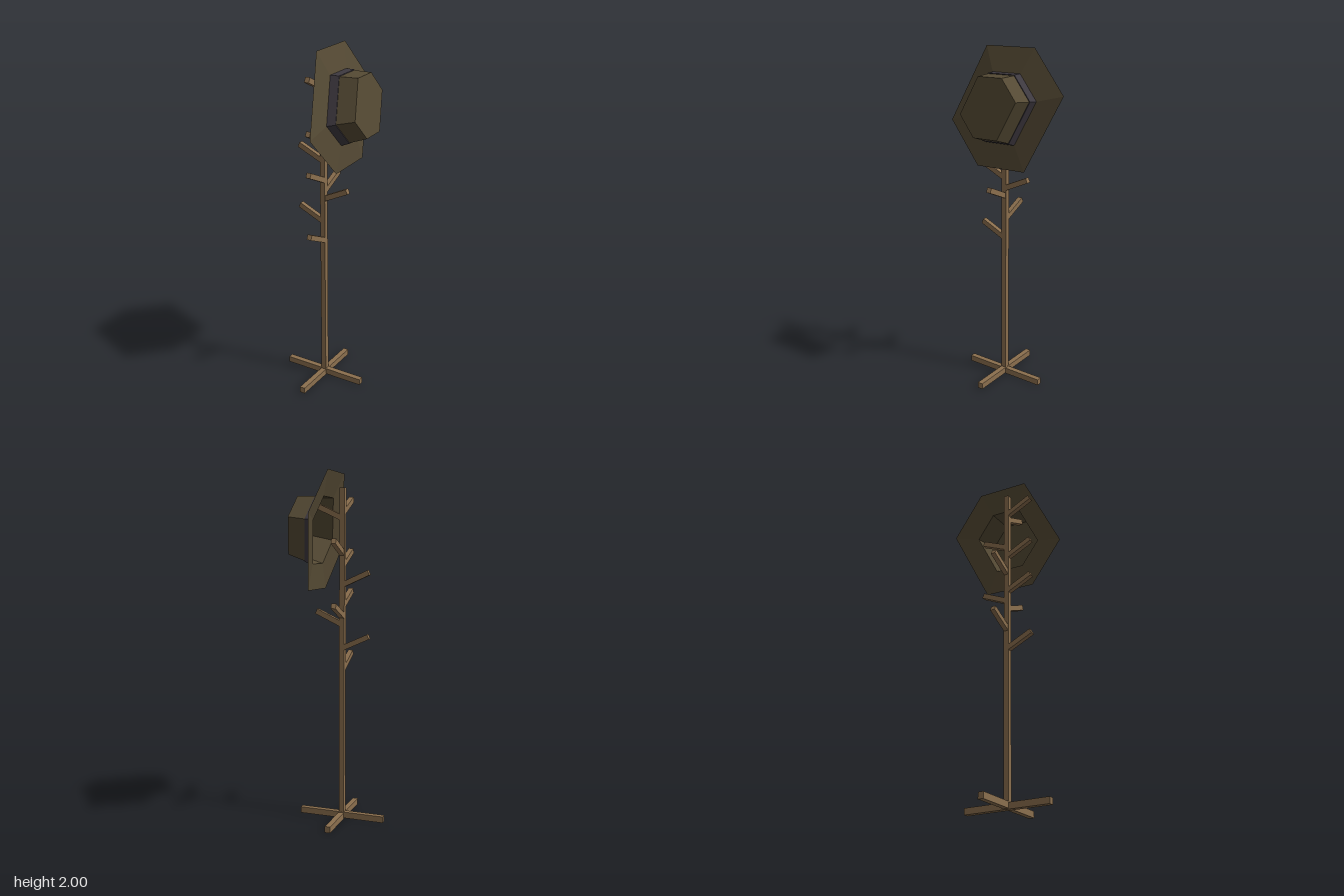
import * as THREE from 'three';

const material = (name, color, side = THREE.FrontSide) => {
  const m = new THREE.MeshStandardMaterial({ color, side, flatShading: true });
  m.name = name;
  return m;
};

// Hat pose: centre, axis and half of the six-sided outline (the other half mirrors it)
const hatCentre = new THREE.Vector3(0.055, 1.672, 0.076);
const hatAxis = new THREE.Vector3(0.04, 0.17, 1).normalize();
const half = [[-0.159, 0.32], [0.146, 0.328], [0.35, 0.1]];
const outline = [...half, ...half.map(([x, y]) => [-x, -y])];

// One hexagonal ring of the hat at a given distance along its axis
function ring(scale, offset) {
  return outline.map(([x, y]) =>
    new THREE.Vector3(x, y, -0.03 * x - 0.17 * y)
      .multiplyScalar(scale)
      .add(hatCentre)
      .addScaledVector(hatAxis, offset));
}

// Flat-faced surface through successive rings, optionally closed at the end
function loft(rings, closeEnd) {
  const points = [];
  for (let r = 0; r < rings.length - 1; r++) {
    const a = rings[r], b = rings[r + 1];
    for (let i = 0; i < 6; i++) {
      const j = (i + 1) % 6;
      points.push(a[i], b[j], a[j], a[i], b[i], b[j]);
    }
  }
  if (closeEnd) {
    const e = rings[rings.length - 1];
    for (let i = 1; i < 5; i++) points.push(e[0], e[i + 1], e[i]);
  }
  const g = new THREE.BufferGeometry().setFromPoints(points);
  g.computeVertexNormals();
  return g;
}

export function createModel() {
  const wood = material('wood', 0x8b6f4e);
  const felt = material('brown felt', 0x554a34, THREE.DoubleSide);
  const ribbon = material('dark ribbon', 0x3e3940);

  const model = new THREE.Group();
  model.name = 'coatStandWithHat';
  const stand = new THREE.Group();
  stand.name = 'stand';
  stand.position.set(-0.07, 0, -0.035);
  stand.rotation.y = 0.657;
  model.add(stand);

  const add = (name, geometry, mat, parent = stand) => {
    const mesh = new THREE.Mesh(geometry, mat);
    mesh.name = name;
    parent.add(mesh);
    return mesh;
  };

  // Crossed feet and pole
  add('footBarAcross', new THREE.BoxGeometry(0.507, 0.036, 0.032), wood).position.y = 0.018;
  add('footBarDeep', new THREE.BoxGeometry(0.032, 0.036, 0.507), wood).position.y = 0.023;
  add('pole', new THREE.BoxGeometry(0.03, 1.89, 0.03), wood).position.y = 0.965;

  // Upward-slanting pegs: direction around the pole and tip heights
  const pegGeometry = new THREE.BoxGeometry(0.171, 0.03, 0.028)
    .translate(0.0855, 0, 0)
    .rotateZ(0.435);
  const pegs = [
    [Math.PI, [0.967, 1.33, 1.56, 1.85]],
    [Math.PI / 2, [1.085, 1.445]],
    [-Math.PI / 2, [1.22, 1.815]],
    [0, [1.267, 1.62]],
  ];
  for (const [angle, tips] of pegs) {
    for (const tip of tips) {
      const peg = add('peg', pegGeometry, wood);
      peg.rotation.y = angle;
      peg.position.y = tip - 0.072;
    }
  }

  // Hat hanging on the pegs: open underneath
  const hat = new THREE.Group();
  hat.name = 'hat';
  stand.add(hat);
  add('hatBrim', loft([ring(1, 0), ring(0.565, 0.02)], false), felt, hat);
  add('hatCrown', loft([ring(0.565, 0.02), ring(0.49, 0.174)], true), felt, hat);
  add('hatBand', loft([ring(0.578, 0.02), ring(0.553, 0.07), ring(0.54, 0.07)], false), ribbon, hat);

  return model;
}
